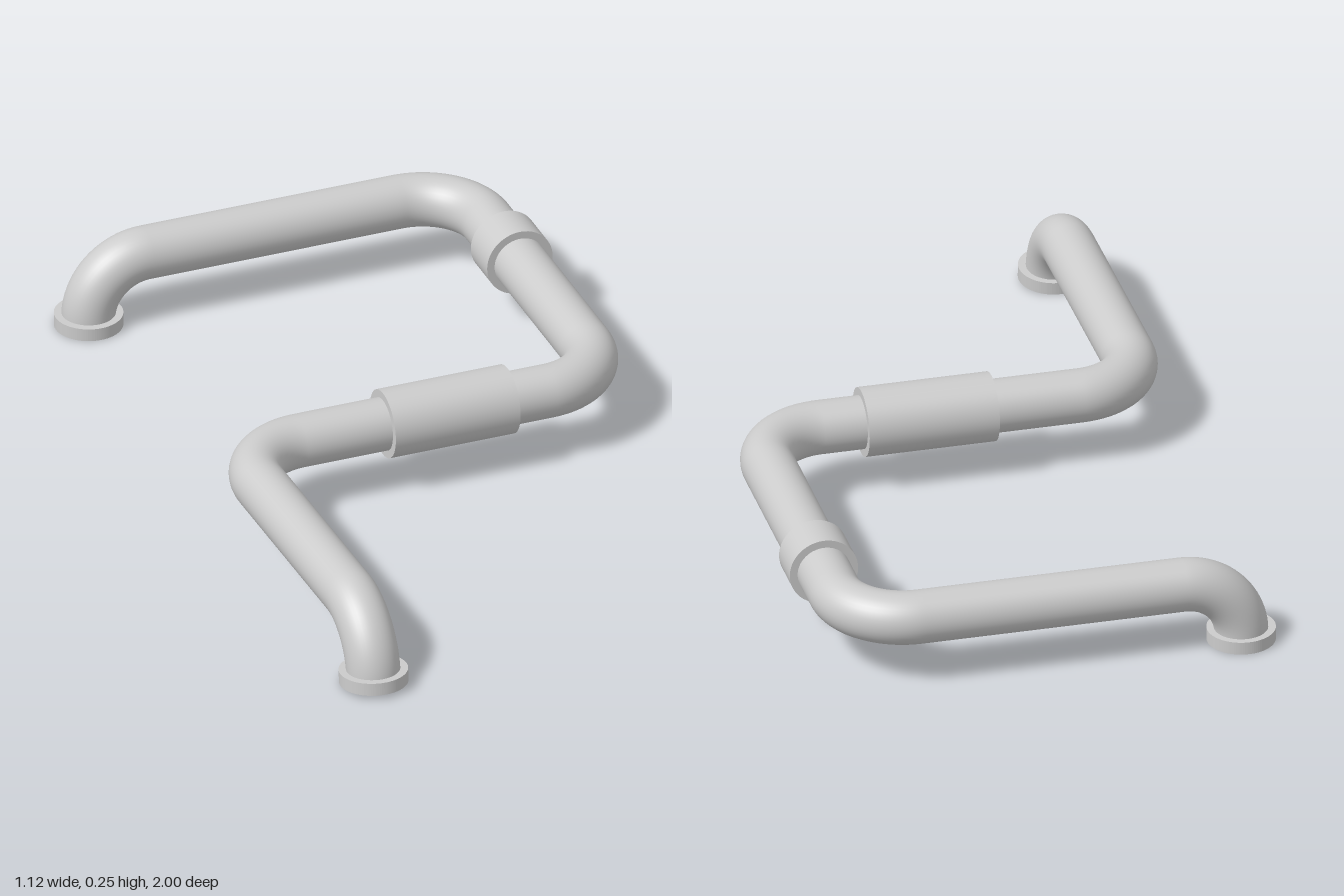
import * as THREE from 'three';

const PIPE_R = 0.065, COLLAR_R = 0.084, Y = 0.165;

// Polyline with each inner corner replaced by a near-circular bend
function bentPath(points, bends) {
  const path = new THREE.CurvePath();
  let from = points[0];
  for (let i = 1; i < points.length - 1; i++) {
    const corner = points[i], d = bends[i - 1];
    const a = corner.clone().add(points[i - 1].clone().sub(corner).setLength(d));
    const b = corner.clone().add(points[i + 1].clone().sub(corner).setLength(d));
    path.add(new THREE.LineCurve3(from, a));
    path.add(new THREE.CubicBezierCurve3(a, a.clone().lerp(corner, 0.552), b.clone().lerp(corner, 0.552), b));
    from = b;
  }
  path.add(new THREE.LineCurve3(from, points[points.length - 1]));
  path.arcLengthDivisions = 600;
  return path;
}

export function createModel() {
  const group = new THREE.Group();
  const mat = new THREE.MeshStandardMaterial({ color: 0xcccccc });
  const openMat = new THREE.MeshStandardMaterial({ color: 0xcccccc, side: THREE.DoubleSide });
  const add = (name, geometry, material = mat) => {
    const mesh = new THREE.Mesh(geometry, material);
    mesh.name = name;
    group.add(mesh);
    return mesh;
  };

  // One continuous pipe, turned down to the ground at both ends
  const v = (x, y, z) => new THREE.Vector3(x, y, z);
  const path = bentPath([
    v(-0.48, 0.012, 0.916), v(-0.48, Y, 0.905), v(-0.49, Y, 0.048), v(0.477, Y, 0.048),
    v(0.477, Y, -0.918), v(-0.48, Y, -0.918), v(-0.48, 0.01, -0.918),
  ], [0.145, 0.165, 0.165, 0.165, 0.145]);
  add('pipe', new THREE.TubeGeometry(path, 360, PIPE_R, 40, false), openMat);

  // Sleeves around the straight runs
  const longSleeve = add('longSleeve', new THREE.CylinderGeometry(COLLAR_R, COLLAR_R, 0.32, 48));
  longSleeve.rotation.z = Math.PI / 2;
  longSleeve.position.set(0.05, Y, 0.048);

  const shortSleeve = add('shortSleeve', new THREE.CylinderGeometry(COLLAR_R, COLLAR_R, 0.105, 48));
  shortSleeve.rotation.x = Math.PI / 2;
  shortSleeve.position.set(0.477, Y, -0.595);

  // Open end flanges: square-edged rings, standing on the ground
  const ring = new THREE.Shape().absarc(0, 0, COLLAR_R - 0.001, 0, Math.PI * 2);
  ring.holes.push(new THREE.Path().absarc(0, 0, 0.058, 0, Math.PI * 2, true));
  const flangeGeometry = new THREE.ExtrudeGeometry(ring, { depth: 0.032, bevelEnabled: false, curveSegments: 48 });
  flangeGeometry.rotateX(-Math.PI / 2);

  const frontFlange = add('frontFlange', flangeGeometry);
  frontFlange.position.set(-0.48, 0.006, 0.917);
  frontFlange.rotation.x = -0.07;

  const backFlange = add('backFlange', flangeGeometry);
  backFlange.position.set(-0.48, 0, -0.917);

  return group;
}
